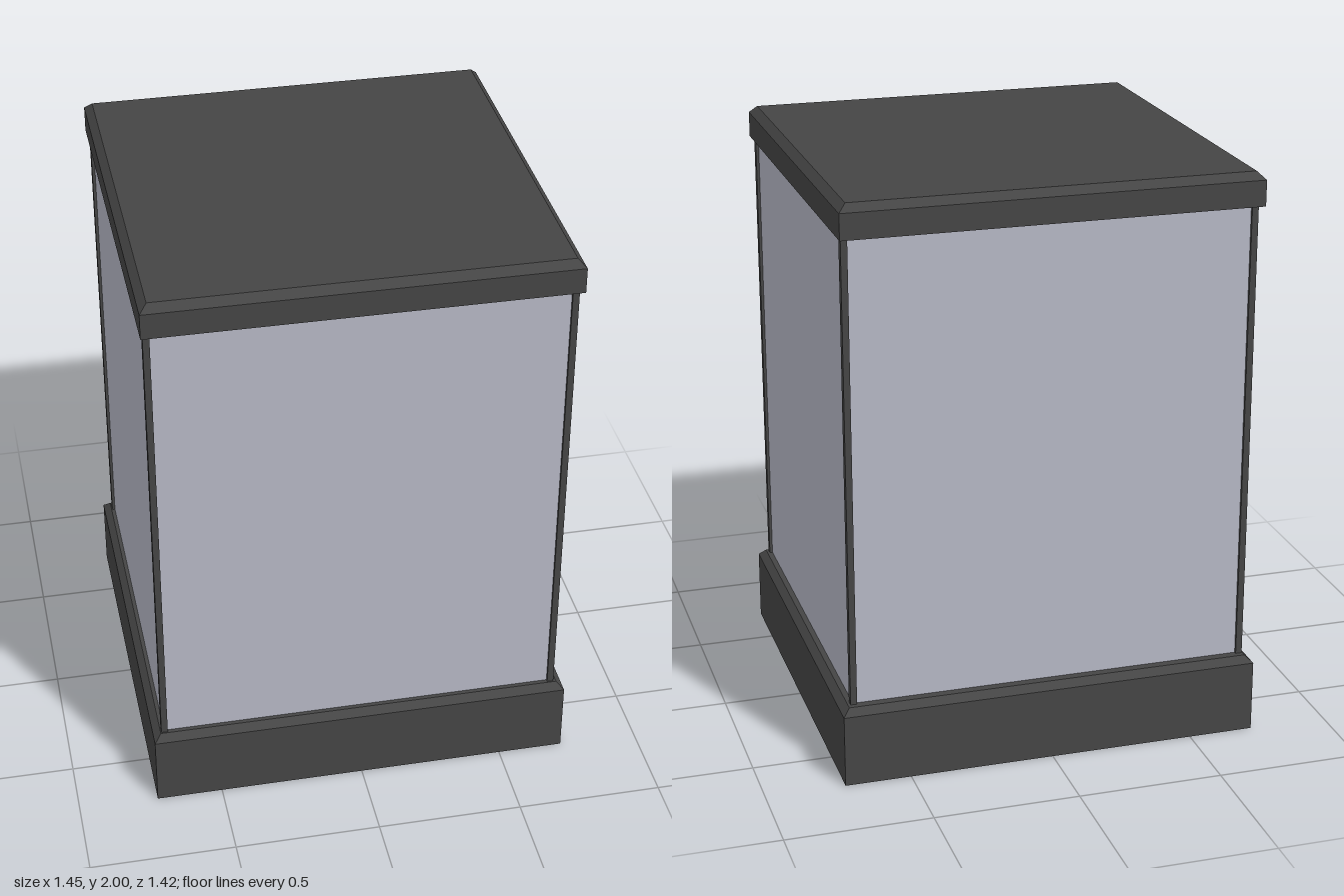
import * as THREE from 'three';

const frameMat = new THREE.MeshStandardMaterial({ color: 0x454545 });
frameMat.name = 'charcoal frame';
const panelMat = new THREE.MeshStandardMaterial({ color: 0xb5b7c4 });
panelMat.name = 'pale grey panel';

// Box from y0 to y1 whose top edges are chamfered by c
function chamferedBox(w, d, y0, y1, c) {
  const box = new THREE.BoxGeometry(w, 2, d, 1, 2, 1);
  const p = box.attributes.position;
  for (let i = 0; i < p.count; i++) {
    const row = Math.round(p.getY(i)); // -1 bottom, 0 chamfer start, 1 top
    if (row === 1) {
      p.setX(i, p.getX(i) - Math.sign(p.getX(i)) * c);
      p.setZ(i, p.getZ(i) - Math.sign(p.getZ(i)) * c);
    }
    p.setY(i, [y0, y1 - c, y1][row + 1]);
  }
  const flat = box.toNonIndexed();
  flat.computeVertexNormals();
  return flat;
}

function addPart(parent, name, geometry, material, x = 0, y = 0, z = 0) {
  const mesh = new THREE.Mesh(geometry, material);
  mesh.name = name;
  mesh.position.set(x, y, z);
  parent.add(mesh);
}

export function createModel() {
  const model = new THREE.Group();
  model.name = 'displayCabinet';

  // Plinth and lid
  addPart(model, 'base', chamferedBox(1.454, 1.42, 0, 0.275, 0.024), frameMat);
  addPart(model, 'lid', chamferedBox(1.414, 1.414, 1.886, 2, 0.026), frameMat, -0.002, 0, 0.002);

  // Cabinet body, slightly recessed between the corner posts
  const body = new THREE.Group();
  body.name = 'body';
  body.position.set(-0.003, 0, 0.007);
  model.add(body);
  addPart(body, 'panels', new THREE.BoxGeometry(1.374, 1.63, 1.328), panelMat, 0, 1.075, 0);

  // Corner posts
  for (const sx of [-1, 1]) {
    for (const sz of [-1, 1]) {
      addPart(body, 'cornerPost', new THREE.BoxGeometry(0.022, 1.615, 0.026), frameMat,
        sx * 0.686, 1.0725, sz * 0.661);
    }
  }
  return model;
}
